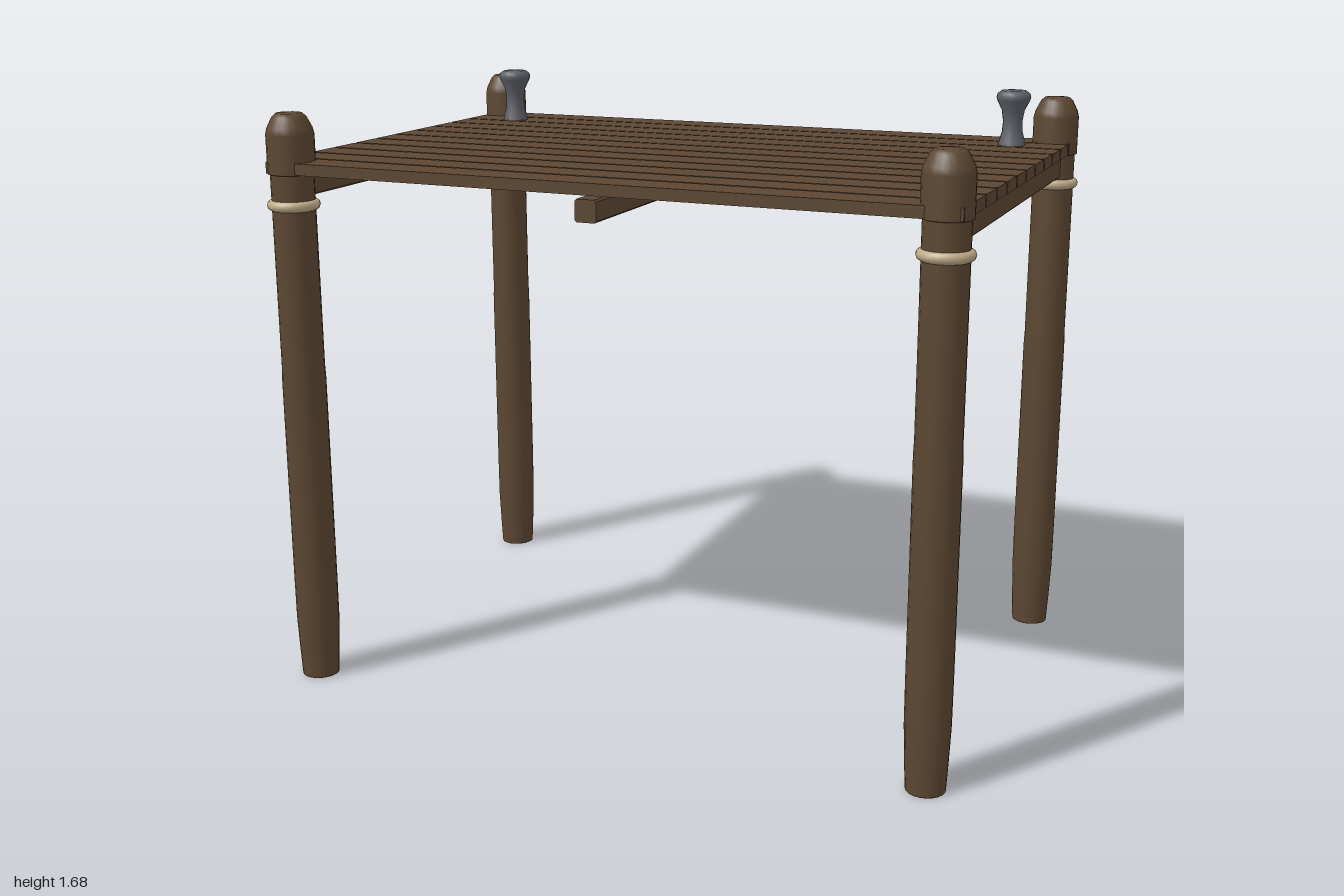
import * as THREE from 'three';

const mat = (name, color) => {
  const m = new THREE.MeshStandardMaterial({ color });
  m.name = name;
  return m;
};

export function createModel() {
  const wood = mat('brown wood', 0x5c4732);
  const rope = mat('tan rope', 0xbfab88);
  const iron = mat('grey iron', 0x5d5f67);

  const model = new THREE.Group();
  model.name = 'dock';

  const add = (name, geometry, material, x, y, z, parent = model) => {
    const mesh = new THREE.Mesh(geometry, material);
    mesh.name = name;
    mesh.position.set(x, y, z);
    parent.add(mesh);
    return mesh;
  };
  const lathe = (points, sides) =>
    new THREE.LatheGeometry(points.map(([r, y]) => new THREE.Vector2(r, y)), sides);

  // Box running along z with slightly bevelled edges
  const beamGeometry = (size, length) => {
    const h = size / 2, c = 0.005;
    const s = new THREE.Shape([
      [-h + c, -h], [h - c, -h], [h, -h + c], [h, h - c],
      [h - c, h], [-h + c, h], [-h, h - c], [-h, -h + c],
    ].map(([x, y]) => new THREE.Vector2(x, y)));
    return new THREE.ExtrudeGeometry(s, { depth: length, bevelEnabled: false })
      .translate(0, 0, -length / 2);
  };

  // Corner piles: tapered foot, straight shaft, wider rounded head, rope binding
  const shaftGeo = lathe([[0, 0], [0.053, 0], [0.053, 0.001], [0.057, 0.08], [0.061, 0.18],
    [0.0615, 0.3], [0.0615, 0.9], [0.06, 0.94], [0.06, 1.5]], 20);
  const headGeo = lathe([[0.058, 1.485], [0.066, 1.487], [0.066, 1.49], [0.066, 1.595],
    [0.062, 1.612], [0.047, 1.642], [0.036, 1.652], [0, 1.655]], 20);
  const ropeGeo = new THREE.TorusGeometry(0.058, 0.015, 10, 28).rotateX(Math.PI / 2);
  for (const x of [-0.925, 0.925]) {
    for (const z of [-0.613, 0.613]) {
      const pile = new THREE.Group();
      pile.name = 'pile';
      pile.position.set(x, 0, z);
      model.add(pile);
      add('pileShaft', shaftGeo, wood, 0, 0, 0, pile);
      add('pileHead', headGeo, wood, 0, 0, 0, pile);
      add('ropeBinding', ropeGeo, rope, 0, 1.4, 0, pile);
    }
  }

  // Beams below the deck
  add('middleBeam', beamGeometry(0.06, 1.334), wood, 0, 1.45, 0);
  const sideBeamGeo = beamGeometry(0.06, 1.2);
  for (const x of [-0.925, 0.925]) add('sideBeam', sideBeamGeo, wood, x, 1.45, 0);

  // Deck planks
  const count = 12, pitch = 0.111;
  const plankGeo = new THREE.BoxGeometry(1.952, 0.032, 0.102);
  for (let i = 0; i < count; i++) {
    add('plank', plankGeo, wood, 0, 1.505, (i - (count - 1) / 2) * pitch);
  }

  // Mooring bollards near the back edge
  const bollardGeo = lathe([[0.04, 1.52], [0.038, 1.53], [0.03, 1.56], [0.028, 1.59],
    [0.033, 1.622], [0.047, 1.65], [0.05, 1.66], [0.047, 1.671], [0.036, 1.679], [0, 1.681]], 18);
  for (const x of [-0.823, 0.823]) add('bollard', bollardGeo, iron, x, 0, -0.49);

  return model;
}
